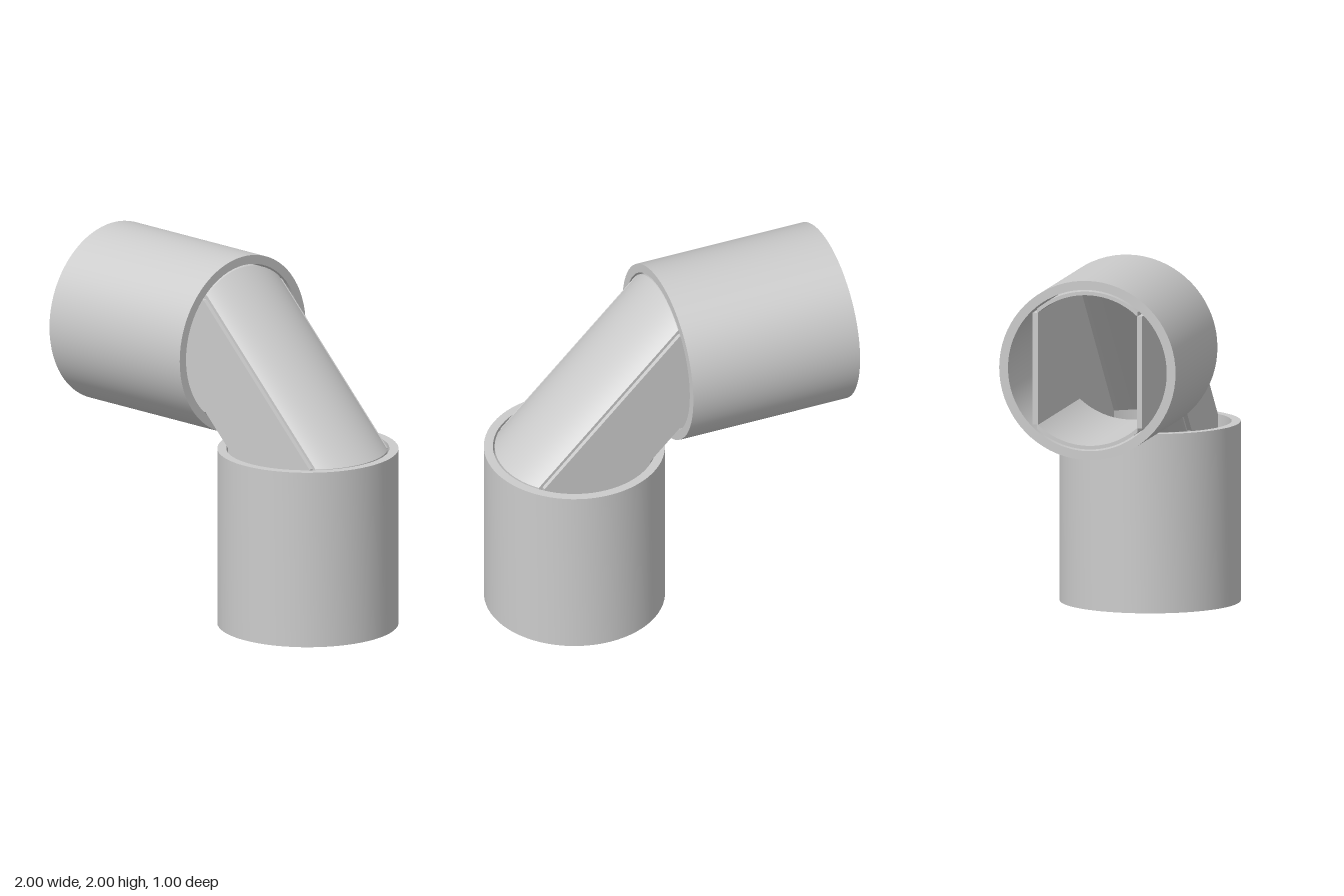
import * as THREE from 'three';
import { toCreasedNormals } from 'three/addons/utils/BufferGeometryUtils.js';

const material = new THREE.MeshStandardMaterial({ color: 0xcccccc, side: THREE.DoubleSide });

function addMesh(group, name, geometry) {
  const mesh = new THREE.Mesh(toCreasedNormals(geometry, 0.5), material);
  mesh.name = name;
  group.add(mesh);
  return mesh;
}

// Outer pipe sleeve: a thick-walled ring, one unit long, centred on its axis
function sleeveGeometry() {
  const outer = 0.5, inner = 0.45, h = 0.5;
  const profile = [[inner, -h], [outer, -h], [outer, h], [inner, h], [inner, -h]];
  return new THREE.LatheGeometry(profile.map(([r, y]) => new THREE.Vector2(r, y)), 72);
}

// Duct section: round above and below, flat sides, a small groove at each corner
function ductShape() {
  const R = 0.44, flat = 0.31, top = 0.312, grooveX = 0.285;
  const a = Math.acos(grooveX / R);
  const shape = new THREE.Shape();
  shape.moveTo(flat, -top);
  shape.lineTo(flat, top);
  shape.lineTo(grooveX, top);
  shape.absarc(0, 0, R, a, Math.PI - a, false);
  shape.lineTo(-grooveX, top);
  shape.lineTo(-flat, top);
  shape.lineTo(-flat, -top);
  shape.lineTo(-grooveX, -top);
  shape.absarc(0, 0, R, Math.PI + a, Math.PI * 2 - a, false);
  shape.lineTo(grooveX, -top);
  shape.closePath();

  const r = 0.42, b = Math.acos(0.28 / r);
  const hole = new THREE.Path();
  hole.absarc(0, 0, r, b, Math.PI - b, false);
  hole.absarc(0, 0, r, Math.PI + b, Math.PI * 2 - b, false);
  hole.closePath();
  shape.holes.push(hole);
  return shape;
}

// Duct: extruded in three steps, then each step is moved to its mitre plane
function ductGeometry() {
  const geometry = new THREE.ExtrudeGeometry(ductShape(), {
    depth: 3, steps: 3, bevelEnabled: false, curveSegments: 24,
  });
  const p = geometry.attributes.position;
  for (let i = 0; i < p.count; i++) {
    const s = p.getX(i), t = p.getY(i), step = Math.round(p.getZ(i));
    if (step < 2) p.setXYZ(i, step - 1, 1.5 + t, -s);
    else p.setXYZ(i, 0.5 + t, 3 - step, -s);
  }
  return geometry;
}

export function createModel() {
  const group = new THREE.Group();
  group.name = 'pipeElbow';

  const upper = addMesh(group, 'horizontalSleeve', sleeveGeometry());
  upper.rotation.z = Math.PI / 2;
  upper.position.set(-0.5, 1.5, 0);

  const lower = addMesh(group, 'verticalSleeve', sleeveGeometry());
  lower.position.set(0.5, 0.5, 0);

  addMesh(group, 'innerDuct', ductGeometry());
  return group;
}
